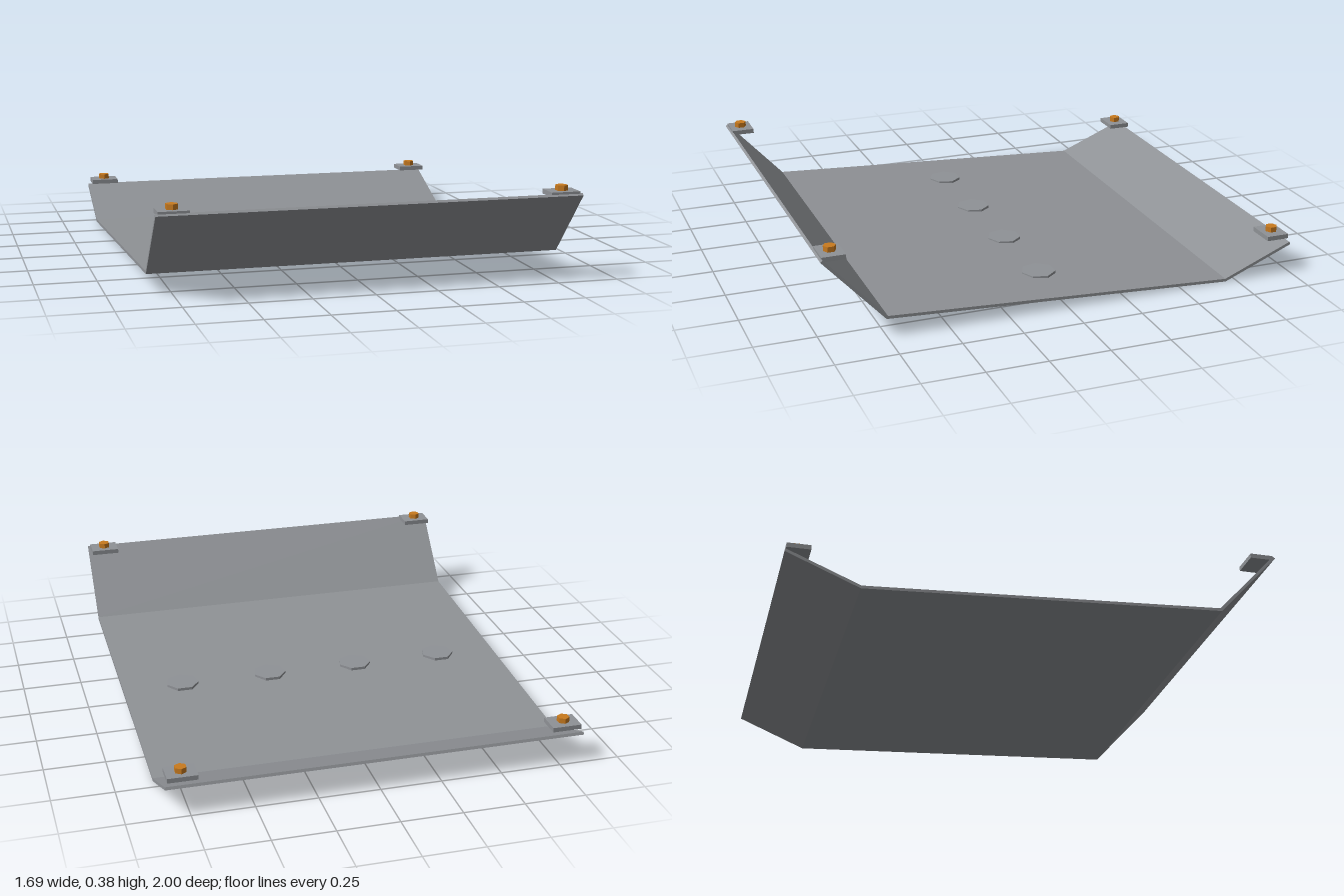
import * as THREE from 'three';

const steel = new THREE.MeshStandardMaterial({ color: 0x8f9296 });
steel.name = 'steel';
const copper = new THREE.MeshStandardMaterial({ color: 0xc87a1e });
copper.name = 'copper';

const WIDTH = 1.69;
const THICKNESS = 0.012;

function add(parent, name, geometry, material, x, y, z) {
  const mesh = new THREE.Mesh(geometry, material);
  mesh.name = name;
  mesh.position.set(x, y, z);
  parent.add(mesh);
  return mesh;
}

// Sheet of constant thickness folded along a centre line of (z, y) points
function foldedSheet(points, thickness, width) {
  const line = points.map(([z, y]) => new THREE.Vector2(z, y));
  const normal = (a, b) => {
    const d = b.clone().sub(a).normalize();
    return new THREE.Vector2(-d.y, d.x);
  };
  const upper = [], lower = [];
  line.forEach((p, i) => {
    const n1 = normal(line[Math.max(i - 1, 0)], line[Math.max(i, 1)]);
    const last = line.length - 1;
    const n2 = normal(line[Math.min(i, last - 1)], line[Math.min(i + 1, last)]);
    const mitre = n1.clone().add(n2).normalize();
    const offset = thickness / 2 / mitre.dot(n1);
    upper.push(p.clone().addScaledVector(mitre, offset));
    lower.unshift(p.clone().addScaledVector(mitre, -offset));
  });
  const geometry = new THREE.ExtrudeGeometry(new THREE.Shape([...upper, ...lower]), {
    depth: width, bevelEnabled: false,
  });
  geometry.rotateY(-Math.PI / 2);
  geometry.translate(width / 2, 0, 0);
  return geometry;
}

// Low-poly cylinder with flat facets
function prism(radius, height, sides) {
  const geometry = new THREE.CylinderGeometry(radius, radius, height, sides).toNonIndexed();
  geometry.computeVertexNormals();
  return geometry;
}

export function createModel() {
  const model = new THREE.Group();
  model.name = 'skidPlate';

  // Bent plate: rear lip, floor, steep front lip
  const profile = [[-0.997, 0.129], [-0.703, 0.007], [0.748, 0.082], [0.995, 0.35]];
  add(model, 'plate', foldedSheet(profile, THICKNESS, WIDTH), steel, 0, 0, 0);

  // Row of raised discs across the floor
  const discGeometry = prism(0.071, 0.014, 7);
  for (let i = 0; i < 4; i++) {
    add(model, 'drainDisc', discGeometry, steel, -0.585 + i * 0.39, 0.052, 0.024);
  }

  // Corner tabs with hexagonal bolts
  const tabGeometry = new THREE.BoxGeometry(0.12, 0.019, 0.095);
  const boltGeometry = prism(0.025, 0.024, 6);
  for (const side of [-1, 1]) {
    for (const [y, z, end] of [[0.352, 0.945, 'front'], [0.157, -0.945, 'rear']]) {
      const mount = new THREE.Group();
      mount.name = end + (side > 0 ? 'Left' : 'Right') + 'Mount';
      mount.position.set(side * 0.775, y, z);
      add(mount, 'tab', tabGeometry, steel, 0, 0, 0);
      add(mount, 'bolt', boltGeometry, copper, 0, 0.019, 0);
      model.add(mount);
    }
  }
  return model;
}
